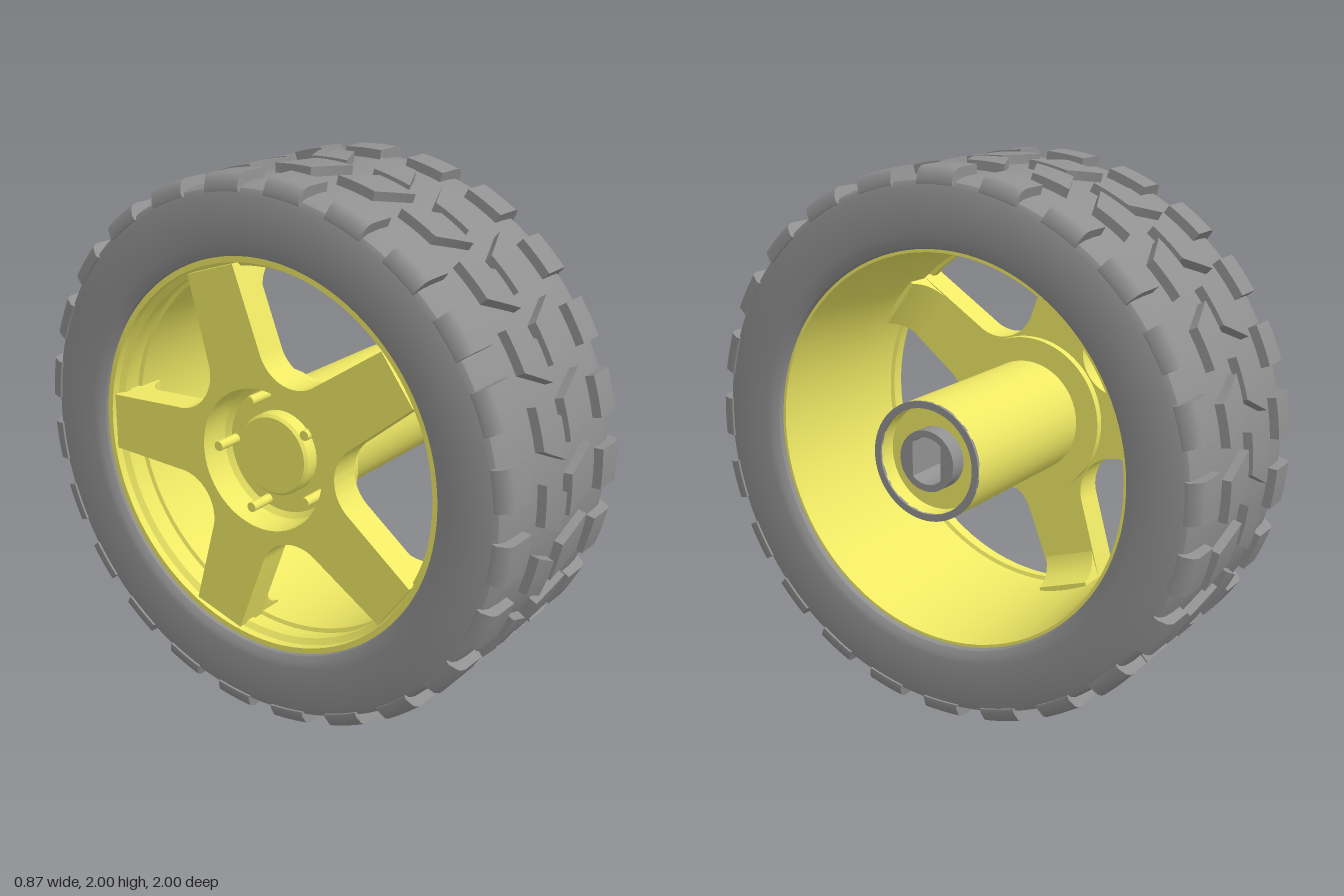
import * as THREE from 'three';
import { toCreasedNormals } from 'three/addons/utils/BufferGeometryUtils.js';

const yellow = new THREE.MeshStandardMaterial({ color: 0xeee864 });
const rubber = new THREE.MeshStandardMaterial({ color: 0x909090 });

function add(parent, name, geometry, material) {
  const mesh = new THREE.Mesh(geometry, material);
  mesh.name = name;
  parent.add(mesh);
  return mesh;
}

// Revolves [radius, x] points around the x axis
function revolve(points, segments = 96) {
  const geo = new THREE.LatheGeometry(points.map(([r, x]) => new THREE.Vector2(r, x)), segments);
  geo.rotateZ(-Math.PI / 2);
  return toCreasedNormals(geo, 0.6);
}

// Extrudes a shape drawn in the wheel plane from x0 to x1
function plate(shape, x0, x1) {
  const geo = new THREE.ExtrudeGeometry(shape, { depth: x1 - x0, bevelEnabled: false, curveSegments: 32 });
  geo.rotateY(Math.PI / 2);
  geo.translate(x0, 0, 0);
  return toCreasedNormals(geo, 0.5);
}

// One tread block wrapped on the tyre; edge is -1 or 1 for a rounded shoulder
function treadBlock(x0, x1, phase, skew, edge) {
  const geo = new THREE.BoxGeometry(1, 1, 1, 10, 1, 4);
  const p = geo.attributes.position;
  for (let i = 0; i < p.count; i++) {
    const top = p.getY(i) > 0;
    const taper = top ? 0.96 : 1;
    const u = p.getX(i);
    const shrink = u * edge > 0 ? 1 : taper;
    const x = (x0 + x1) / 2 + u * shrink * (x1 - x0);
    const a = phase - p.getZ(i) * taper * 0.155 + skew * u;
    let r = top ? 1 : 0.94;
    if (top && edge) {
      const t = Math.max(0, 1 - (0.5 - u * edge) * (x1 - x0) / 0.05);
      r -= 0.045 * (1 - Math.sqrt(1 - t * t));
    }
    p.setXYZ(i, x, r * Math.sin(a), r * Math.cos(a));
  }
  return toCreasedNormals(geo, 0.6);
}

// Five spokes joined by rounded windows
function spokeShape() {
  const s = new THREE.Shape();
  const step = Math.PI * 2 / 5, d = 0.461, fillet = 0.151;
  for (let k = 0; k < 5; k++) {
    const a = k * step, c = Math.cos(a), n = Math.sin(a);
    const at = (x, y) => [x * c - y * n, x * n + y * c];
    if (k === 0) s.moveTo(...at(0.685, -0.105));
    else s.lineTo(...at(0.685, -0.105));
    s.lineTo(...at(0.685, 0.105));
    s.lineTo(...at(d * Math.cos(step / 2), 0.12));
    s.absarc(d * Math.cos(a + step / 2), d * Math.sin(a + step / 2), fillet,
      a - Math.PI / 2, a - Math.PI * 1.1, true);
  }
  s.closePath();
  const hole = new THREE.Path();
  hole.absarc(0, 0, 0.26, 0, Math.PI * 2, true);
  s.holes.push(hole);
  return s;
}

export function createModel() {
  const model = new THREE.Group();
  model.name = 'wheel';
  const wheel = new THREE.Group();
  wheel.name = 'wheelAssembly';
  wheel.position.y = 1;
  model.add(wheel);

  // Tyre carcass with rounded inner lips
  add(wheel, 'tyre', revolve([
    [0.715, -0.39], [0.725, -0.415], [0.745, -0.428], [0.77, -0.432], [0.93, -0.432], [0.952, -0.42],
    [0.962, -0.395], [0.967, -0.34], [0.967, 0.265], [0.962, 0.32], [0.952, 0.345], [0.93, 0.357],
    [0.77, 0.357], [0.745, 0.353], [0.725, 0.34], [0.715, 0.315], [0.715, -0.39],
  ], 128), rubber);

  // Four rows of tread blocks
  const count = 24, pitch = Math.PI * 2 / count;
  const rows = [
    ['rightShoulderTread', -0.435, -0.285, pitch / 2, 0, -1],
    ['rightInnerTread', -0.2, -0.05, -0.03, -0.07, 0],
    ['leftInnerTread', -0.02, 0.13, 0.02, 0.07, 0],
    ['leftShoulderTread', 0.21, 0.36, 0, 0, 1],
  ];
  for (const [name, ...spec] of rows) {
    const row = new THREE.Group();
    row.name = name;
    wheel.add(row);
    const geo = treadBlock(...spec);
    for (let i = 0; i < count; i++) add(row, 'treadBlock', geo, rubber).rotation.x = i * pitch;
  }

  // Rim barrel with stepped grooves on the spoke side
  add(wheel, 'rim', revolve([
    [0.722, -0.405], [0.722, 0.325], [0.708, 0.325], [0.7, 0.25], [0.69, 0.1], [0.682, -0.05],
    [0.68, -0.27], [0.695, -0.275], [0.695, -0.325], [0.68, -0.33], [0.68, -0.36], [0.7, -0.375],
    [0.7, -0.405], [0.722, -0.405],
  ]), yellow);

  // Spokes, each with a curved root on its inner side
  add(wheel, 'spokes', plate(spokeShape(), -0.4, -0.28), yellow);
  const root = new THREE.Shape();
  root.moveTo(0.53, -0.285);
  root.quadraticCurveTo(0.64, -0.28, 0.66, -0.18);
  root.lineTo(0.685, -0.18);
  root.lineTo(0.685, -0.285);
  root.closePath();
  const rootGeo = new THREE.ExtrudeGeometry(root, { depth: 0.21, bevelEnabled: false });
  rootGeo.translate(0, 0, -0.105);
  // Shape x becomes radial (-z), shape y becomes the axle direction (x)
  rootGeo.applyMatrix4(new THREE.Matrix4().makeBasis(
    new THREE.Vector3(0, 0, -1), new THREE.Vector3(1, 0, 0), new THREE.Vector3(0, -1, 0)));
  const rootCreased = toCreasedNormals(rootGeo, 0.5);
  const studGeo = new THREE.CylinderGeometry(0.018, 0.018, 0.11, 16);
  studGeo.rotateZ(Math.PI / 2);
  studGeo.translate(-0.325, 0, -0.21);
  for (let k = 0; k < 5; k++) {
    const angle = k * Math.PI * 2 / 5;
    add(wheel, 'spokeRoot', rootCreased, yellow).rotation.x = angle;
    add(wheel, 'stud', studGeo, yellow).rotation.x = angle;
  }

  // Hub bowl and centre cap on the spoke side
  add(wheel, 'hubBowl', revolve([
    [0, -0.28], [0.23, -0.28], [0.25, -0.295], [0.26, -0.33], [0.265, -0.38], [0.29, -0.38],
    [0.305, -0.3], [0.305, -0.25], [0, -0.25],
  ]), yellow);
  add(wheel, 'centreCap', revolve([
    [0, -0.34], [0.14, -0.34], [0.15, -0.33], [0.15, -0.27],
  ], 64), yellow);

  // Axle boss with a recessed end
  add(wheel, 'axleBoss', revolve([
    [0.215, -0.26], [0.215, 0.425], [0.19, 0.425], [0.19, 0.36], [0.1, 0.36],
  ], 64), yellow);
  add(wheel, 'bossEndRing', revolve([
    [0.19, 0.42], [0.215, 0.42], [0.215, 0.432], [0.19, 0.432], [0.19, 0.42],
  ], 64), rubber);

  // Bushing with a flat-sided bore
  const bushing = new THREE.Shape();
  bushing.absarc(0, 0, 0.11, 0, Math.PI * 2, false);
  const bore = new THREE.Path();
  const half = Math.acos(0.058 / 0.085);
  bore.absarc(0, 0, 0.085, half, Math.PI - half, false);
  bore.absarc(0, 0, 0.085, Math.PI + half, Math.PI * 2 - half, false);
  bore.closePath();
  bushing.holes.push(bore);
  add(wheel, 'bushing', plate(bushing, 0.1, 0.425), rubber);
  const floor = new THREE.CircleGeometry(0.1, 32);
  floor.rotateY(Math.PI / 2);
  floor.translate(0.12, 0, 0);
  add(wheel, 'boreFloor', floor, yellow);

  return model;
}
